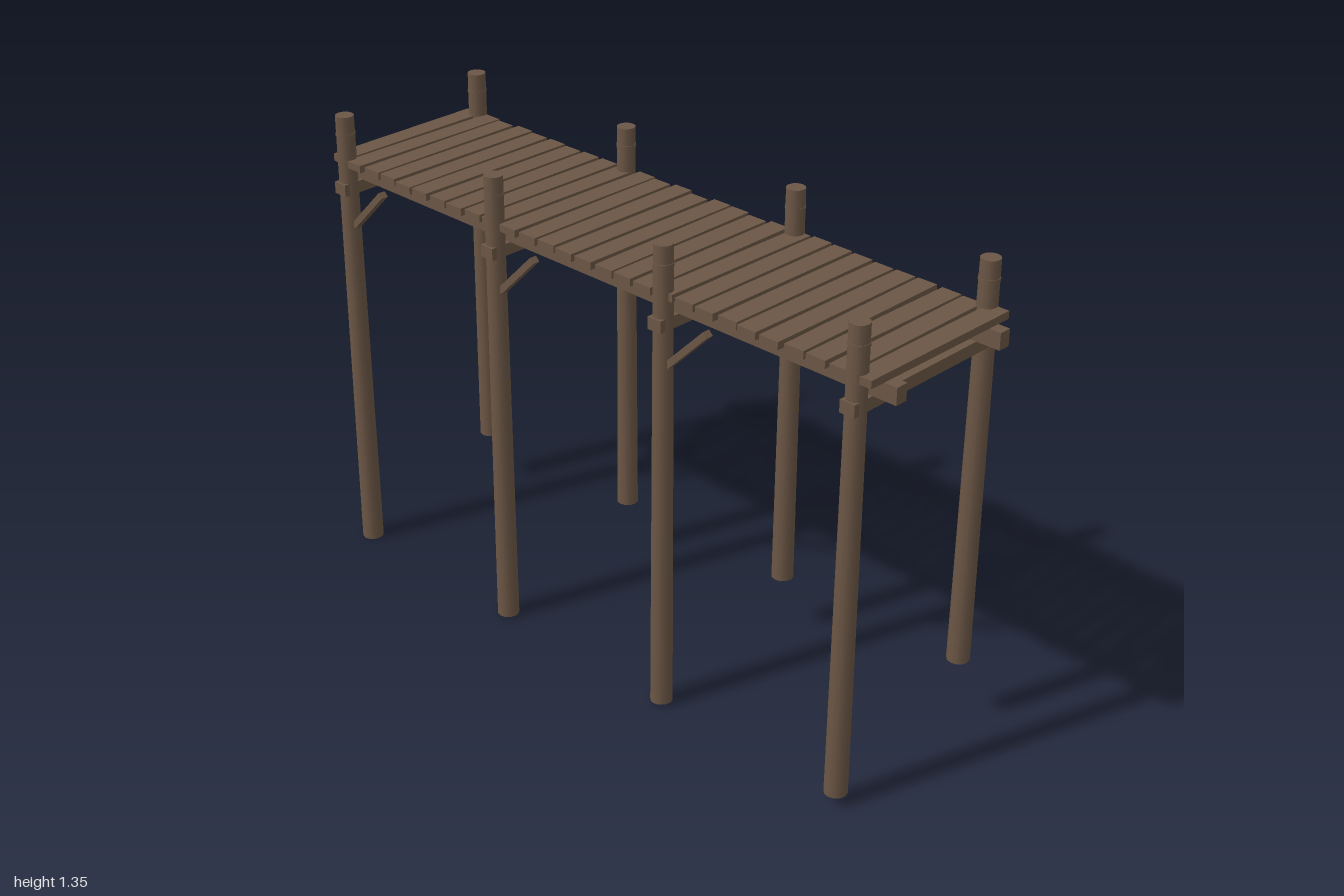
import * as THREE from 'three';

const wood = new THREE.MeshStandardMaterial({ color: 0x6b5645 });
wood.name = 'weathered brown wood';

// small seeded generator, returns -1..1
function seeded(seed) {
  return () => {
    seed = (seed * 16807) % 2147483647;
    return (seed / 2147483647) * 2 - 1;
  };
}

function add(parent, name, geometry, x, y, z) {
  const mesh = new THREE.Mesh(geometry, wood);
  mesh.name = name;
  mesh.position.set(x, y, z);
  parent.add(mesh);
  return mesh;
}

export function createModel() {
  const model = new THREE.Group();
  model.name = 'pier';
  const rand = seeded(4711);

  const postTop = 1.345, postX = 0.241;
  const bentZ = [0.909, 0.3, -0.309, -0.918];
  // post feet follow a sloping bed: [z row] for each side
  const feet = { '-1': [0.035, 0.01, 0.004, 0], '1': [0.2, 0.18, 0.17, 0.165] };

  bentZ.forEach((z, i) => {
    const bent = new THREE.Group();
    bent.name = 'bent' + (i + 1);
    model.add(bent);

    for (const side of [-1, 1]) {
      // tapered pile with a thin band near its head
      const foot = feet[side][i], height = postTop - foot;
      add(bent, 'post', new THREE.CylinderGeometry(0.026, 0.031, height, 12),
        side * postX, foot + height / 2, z);
      add(bent, 'postBand', new THREE.CylinderGeometry(0.0277, 0.0277, 0.009, 12),
        side * postX, 1.291, z);

      // diagonal brace leaning forward from the post, absent on the front row
      if (i > 0) {
        const brace = add(bent, 'brace', new THREE.BoxGeometry(0.022, 0.018, 0.21),
          side * postX, 1.078, z + 0.075);
        brace.rotation.x = -Math.PI / 4;
      }
    }

    // cross beam through both posts
    add(bent, 'crossBeam', new THREE.BoxGeometry(0.546, 0.034, 0.044), 0, 1.135, z);
  });

  // long stringers under the deck
  for (const side of [-1, 1]) {
    add(model, 'stringer', new THREE.BoxGeometry(0.036, 0.046, 2), side * 0.193, 1.176, 0);
  }

  // deck planks, slightly uneven
  const count = 28;
  for (let i = 0; i < count; i++) {
    const length = 0.504 + rand() * 0.008;
    const plank = add(model, 'plank', new THREE.BoxGeometry(length, 0.021, 0.058),
      -0.002 + rand() * 0.005, 1.2095 + rand() * 0.001, -0.94 + (i * 1.876) / (count - 1));
    plank.rotation.y = rand() * 0.012;
  }

  return model;
}
